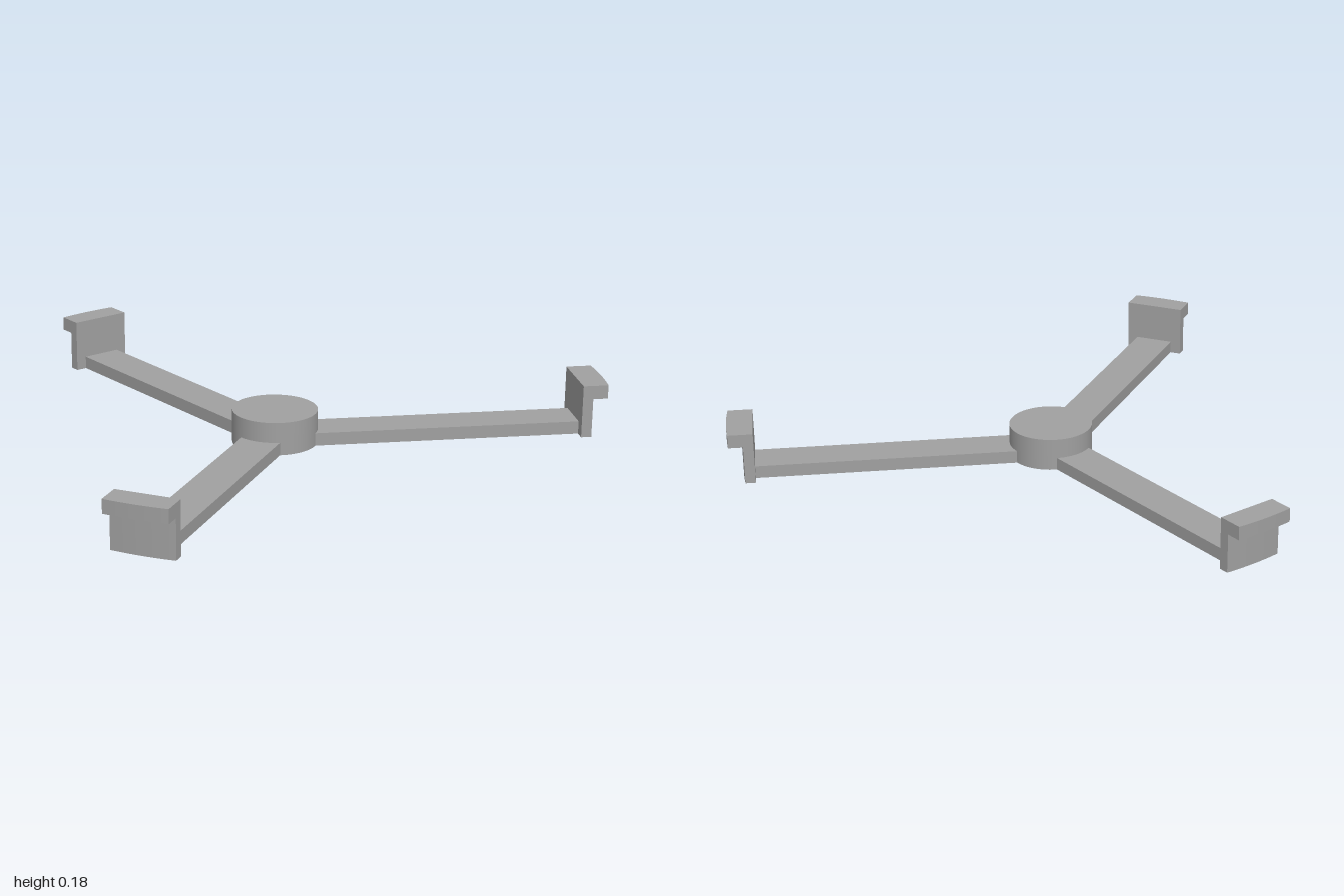
import * as THREE from 'three';

const HUB_Z = 0.23;
const HALF_WIDTH = 0.105;

// Block with a flat inner face and an outer face curved about the hub axis
function curvedBlock(inner, radius, bottom, top) {
  const a = Math.asin(HALF_WIDTH / radius);
  const shape = new THREE.Shape();
  shape.moveTo(-HALF_WIDTH, inner);
  shape.lineTo(HALF_WIDTH, inner);
  shape.absarc(0, 0, radius, Math.PI / 2 - a, Math.PI / 2 + a, false);
  shape.closePath();
  const geo = new THREE.ExtrudeGeometry(shape, { depth: top - bottom, bevelEnabled: false, curveSegments: 10 });
  return geo.rotateX(-Math.PI / 2).translate(0, bottom, 0);
}

export function createModel() {
  const model = new THREE.Group();
  model.name = 'threeArmHolder';
  const grey = new THREE.MeshStandardMaterial({ color: 0xa0a0a0 });
  grey.name = 'grey';

  const add = (parent, name, geo) => {
    const mesh = new THREE.Mesh(geo, grey);
    mesh.name = name;
    parent.add(mesh);
  };

  const body = new THREE.Group();
  body.name = 'body';
  body.position.z = HUB_Z;
  model.add(body);

  // Round centre hub
  add(body, 'hub', new THREE.CylinderGeometry(0.142, 0.142, 0.111, 64).translate(0, 0.0555, 0));

  // Three arms, each ending in an upright with an outward lip
  const bar = new THREE.BoxGeometry(0.136, 0.043, 0.92).translate(0, 0.0215, -0.55);
  const upright = curvedBlock(1.01, 1.05, 0, 0.132);
  const lip = curvedBlock(1.01, 1.099, 0.132, 0.178);
  for (let i = 0; i < 3; i++) {
    const arm = new THREE.Group();
    arm.name = `arm${i + 1}`;
    arm.rotation.y = (i * Math.PI * 2) / 3;
    add(arm, 'bar', bar);
    add(arm, 'upright', upright);
    add(arm, 'lip', lip);
    body.add(arm);
  }
  return model;
}
